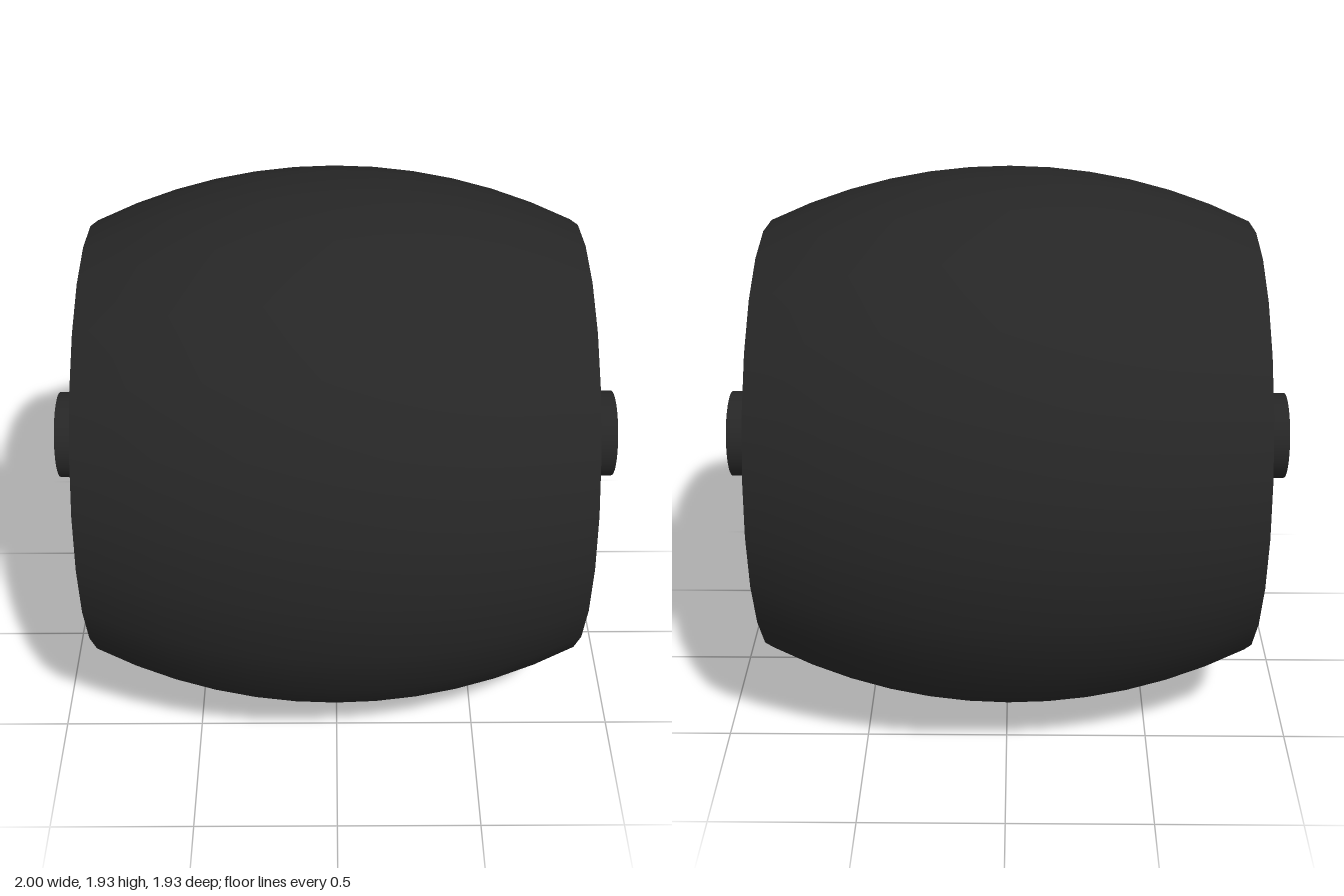
import * as THREE from 'three';

export function createModel() {
  const model = new THREE.Group();
  const material = new THREE.MeshStandardMaterial({ color: 0x262626 });

  const sides = 24, steps = 12;
  const halfLength = 0.847, midRadius = 0.965, endRadius = 0.772;

  // Everything turns about one horizontal axis: local y becomes x
  const roller = new THREE.Group();
  roller.name = 'roller';
  roller.rotation.z = -Math.PI / 2;
  roller.position.y = midRadius;
  model.add(roller);

  const add = (name, geometry, y = 0, parent = roller) => {
    const mesh = new THREE.Mesh(geometry, material);
    mesh.name = name;
    mesh.position.y = y;
    parent.add(mesh);
    return mesh;
  };

  // Barrel: circular arc profile, widest in the middle
  const barrel = new THREE.Group();
  barrel.name = 'barrel';
  barrel.position.y = -0.005;
  roller.add(barrel);
  const sag = midRadius - endRadius;
  const arcRadius = (halfLength ** 2 + sag ** 2) / (2 * sag);
  const profile = [];
  for (let i = 0; i <= steps; i++) {
    const y = halfLength * (2 * i / steps - 1);
    const r = midRadius - arcRadius + Math.sqrt(arcRadius ** 2 - y ** 2);
    profile.push(new THREE.Vector2(r, y));
  }
  add('barrelWall', new THREE.LatheGeometry(profile, sides), 0, barrel);

  // Flat end faces
  for (const s of [-1, 1]) {
    const cap = add(s > 0 ? 'leftEnd' : 'rightEnd',
      new THREE.CircleGeometry(endRadius, sides), s * halfLength, barrel);
    cap.rotation.x = -s * Math.PI / 2;
  }

  // Axle running through the barrel
  add('axle', new THREE.CylinderGeometry(0.154, 0.154, 2, 32));

  return model;
}
